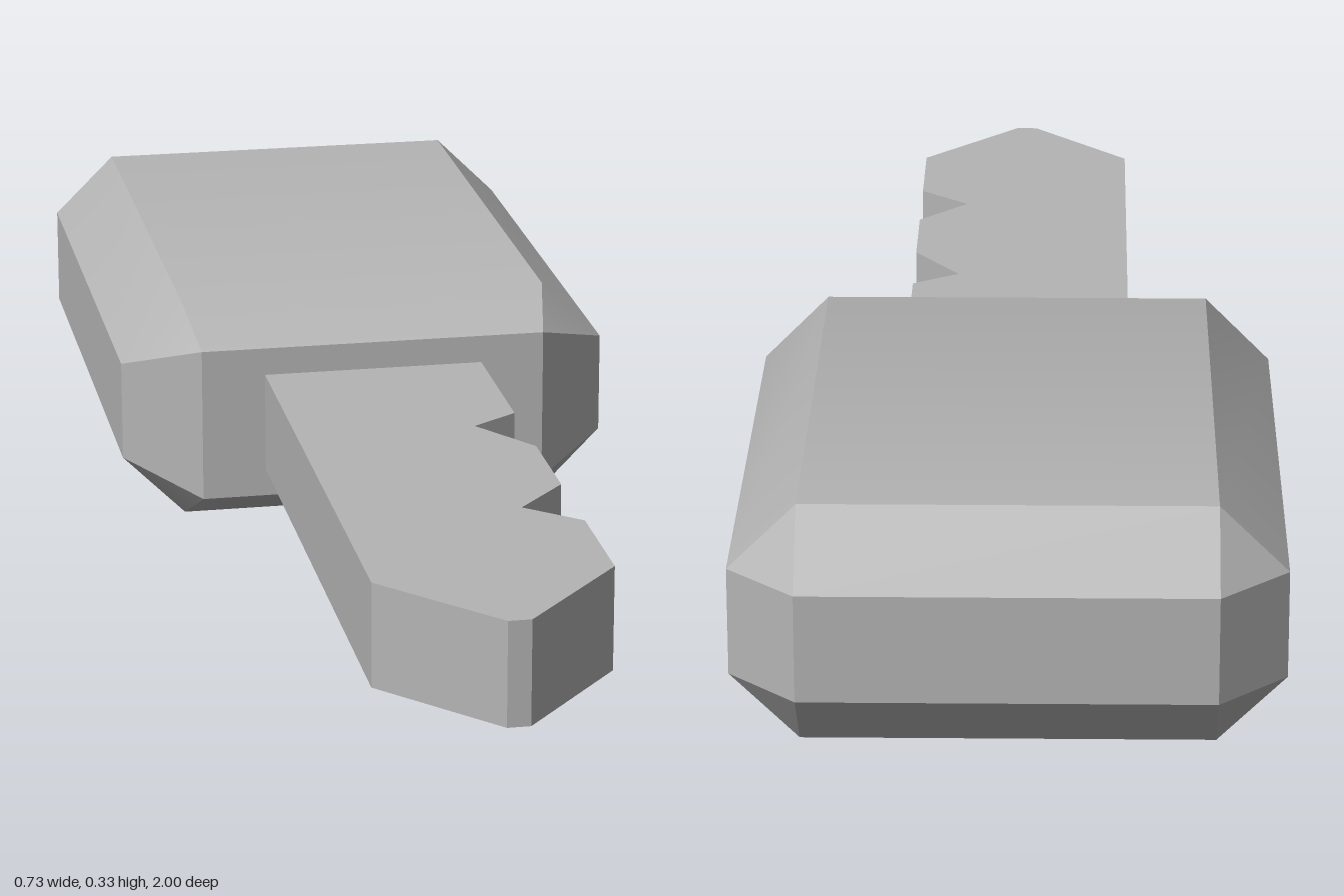
import * as THREE from 'three';
import { toCreasedNormals } from 'three/addons/utils/BufferGeometryUtils.js';
import { ConvexGeometry } from 'three/addons/geometries/ConvexGeometry.js';

export function createModel() {
  const group = new THREE.Group();
  const grey = new THREE.MeshStandardMaterial({ color: 0xb4b4b4 });
  grey.name = 'grey';

  // Grip: a chamfered block, its corners mirrored about the middle (half width, half height, z)
  const midY = 0.165;
  const corners = [
    [0.257, 0.115, -0.025], [0.273, 0.165, -0.11], [0.365, 0.074, -0.115], // blade end
    [0.273, 0.165, -0.91], [0.365, 0.074, -0.91], [0.273, 0.074, -1], // far end
  ];
  const points = [];
  for (const [x, y, z] of corners)
    for (const sx of [-1, 1])
      for (const sy of [-1, 1]) points.push(new THREE.Vector3(sx * x, midY + sy * y, z));
  const grip = new THREE.Mesh(toCreasedNormals(new ConvexGeometry(points), 0.58), grey);
  grip.name = 'grip';
  group.add(grip);

  // Blade: pointed outline in x and z, with two notches on its left edge
  const outline = [
    [-0.163, -0.06], [0.163, -0.06],
    [0.163, 0.21], [0.095, 0.255], [0.163, 0.355],
    [0.163, 0.515], [0.09, 0.595], [0.163, 0.66],
    [0.163, 0.835], [0.016, 1], [-0.016, 1], [-0.163, 0.835],
  ];
  const shape = new THREE.Shape(outline.map(([x, z]) => new THREE.Vector2(x, z)));
  const bladeGeometry = new THREE.ExtrudeGeometry(shape, { depth: 0.148, bevelEnabled: false });
  bladeGeometry.rotateX(Math.PI / 2).translate(0, 0.239, 0);
  const blade = new THREE.Mesh(bladeGeometry, grey);
  blade.name = 'blade';
  group.add(blade);

  return group;
}
